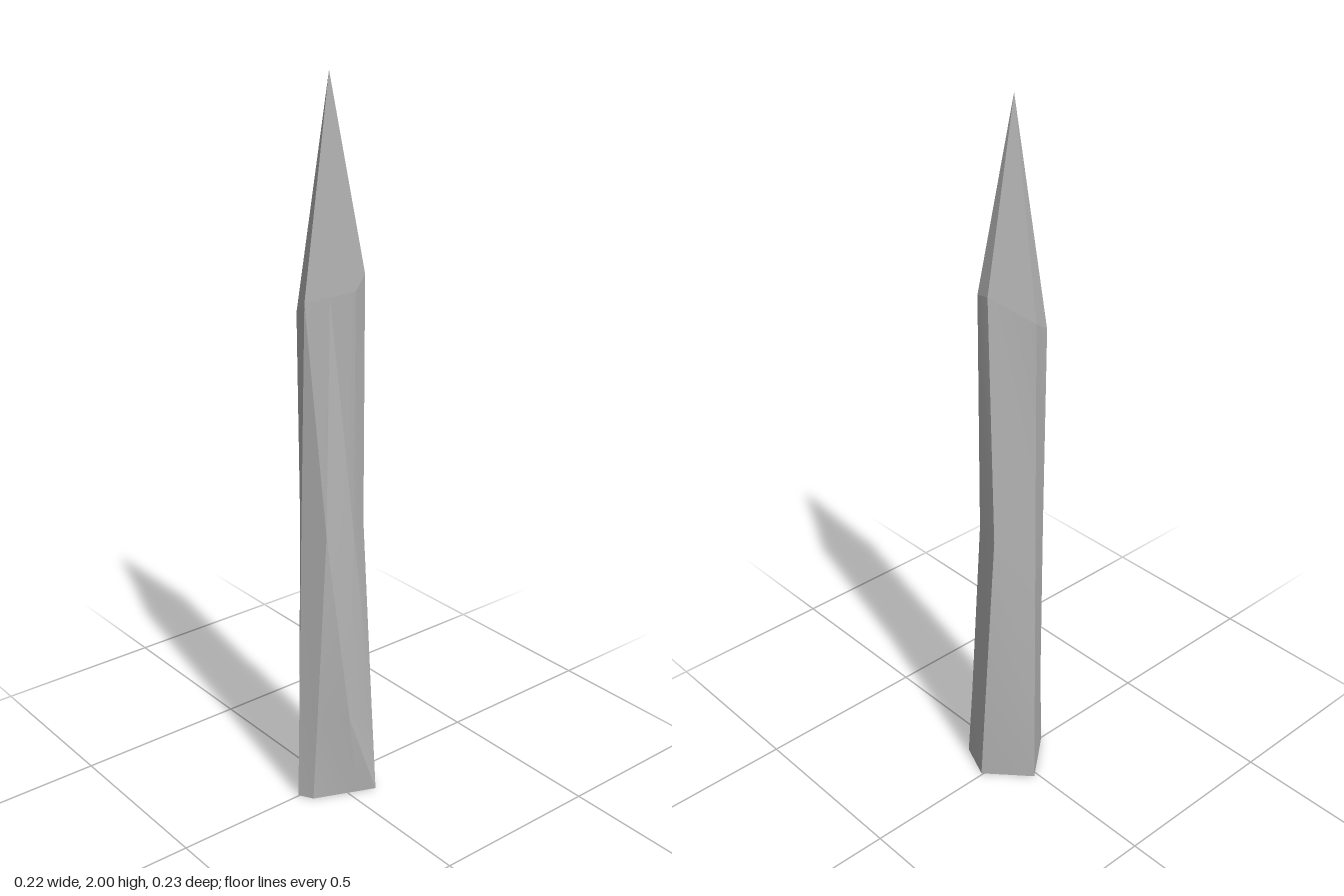
import * as THREE from 'three';
import { toCreasedNormals } from 'three/addons/utils/BufferGeometryUtils.js';

// Cross-sections [x, z, y], counter-clockwise from the front edge
const base = [[-0.003, 0.116, 0], [0.037, 0.093, 0], [0.087, -0.026, 0], [0.108, -0.077, 0],
  [0.005, -0.118, 0], [-0.109, -0.013, 0], [-0.056, 0.052, 0]];
const lower = [[-0.002, 0.111, 0.26], [0.049, 0.087, 0.26], [0.1, 0.014, 0.26], [0.08, -0.083, 0.25],
  [-0.007, -0.111, 0.26], [-0.104, -0.009, 0.26], [-0.056, 0.055, 0.26]];
const middle = [[0.0, 0.1, 0.82], [0.069, 0.07, 0.82], [0.083, -0.01, 0.82], [0.052, -0.07, 0.82],
  [-0.033, -0.095, 0.82], [-0.092, -0.001, 0.82], [-0.057, 0.06, 0.82]];
const shoulder = [[0.003, 0.087, 1.44], [0.042, 0.037, 1.455], [0.08, -0.015, 1.47], [0.05, -0.07, 1.5],
  [0.005, -0.077, 1.51], [-0.079, 0.008, 1.44], [-0.057, 0.066, 1.4]];
const apex = [-0.002, 0.004, 2];

// Turns a list of triangle corners into a mesh with sharp main edges
function facetMesh(name, corners, material) {
  const geometry = new THREE.BufferGeometry();
  const positions = corners.flatMap(([x, z, y]) => [x, y, z]);
  geometry.setAttribute('position', new THREE.Float32BufferAttribute(positions, 3));
  const mesh = new THREE.Mesh(toCreasedNormals(geometry, 0.42), material);
  mesh.name = name;
  return mesh;
}

export function createModel() {
  const model = new THREE.Group();
  model.name = 'crystalShard';
  const stone = new THREE.MeshStandardMaterial({ color: 0xb4b4b4 });
  stone.name = 'greyStone';

  const rings = [base, lower, middle, shoulder];
  const n = base.length;
  const shaft = [], tip = [], foot = [];
  for (let i = 0; i < n; i++) {
    const j = (i + 1) % n;
    // Long facets of the shaft
    for (let r = 0; r < rings.length - 1; r++) {
      const lo = rings[r], hi = rings[r + 1];
      shaft.push(lo[i], lo[j], hi[i], hi[i], lo[j], hi[j]);
    }
    // Pointed tip and flat underside
    tip.push(shoulder[i], shoulder[j], apex);
    foot.push(base[j], base[i], [0, 0, 0]);
  }
  model.add(
    facetMesh('shaft', shaft, stone),
    facetMesh('pointedTip', tip, stone),
    facetMesh('underside', foot, stone),
  );
  return model;
}
